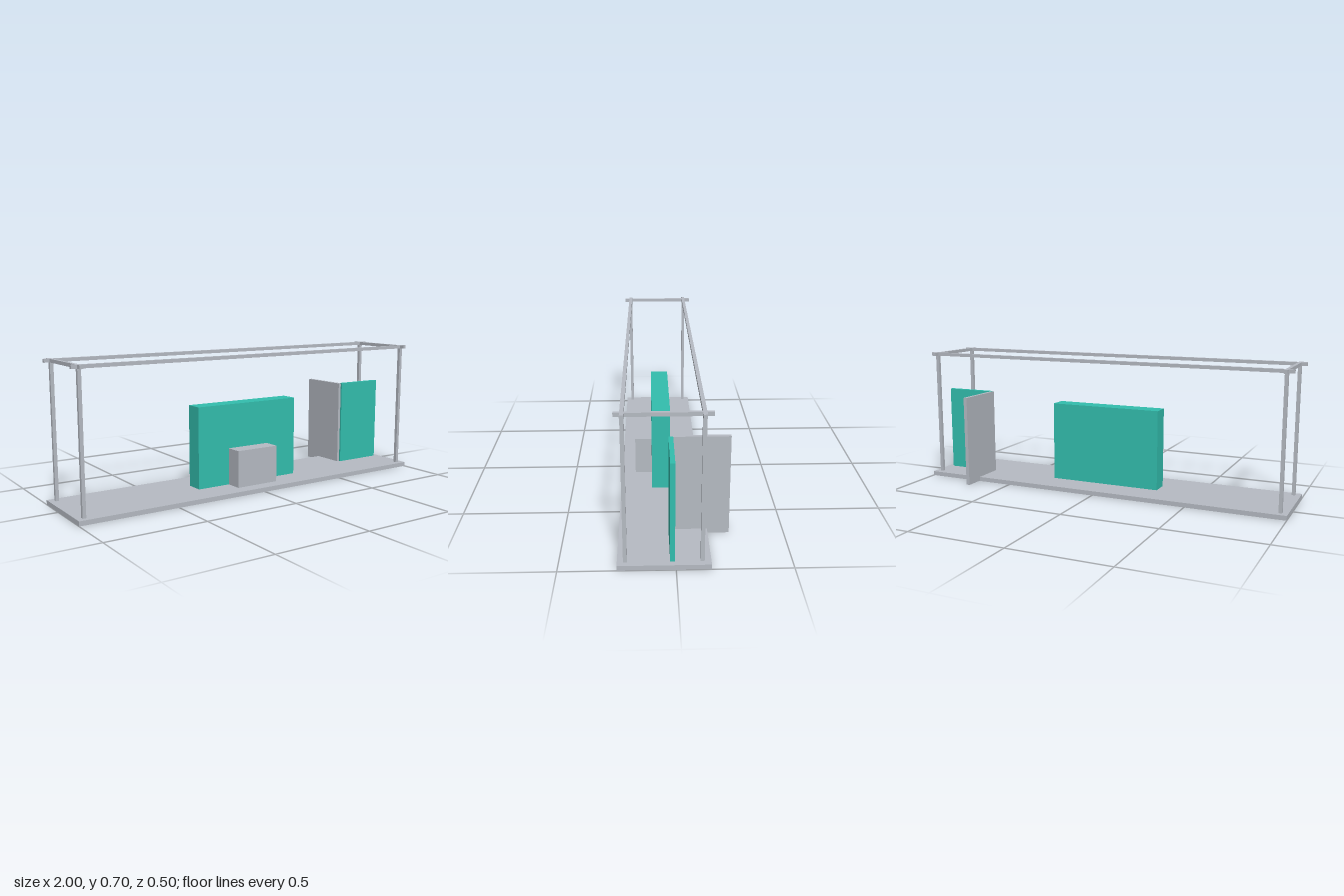
import * as THREE from 'three';

export function createModel() {
  const model = new THREE.Group();
  model.name = 'exhibitionStand';

  const grey = new THREE.MeshStandardMaterial({ color: 0xb6bbc3 });
  grey.name = 'light grey';
  const teal = new THREE.MeshStandardMaterial({ color: 0x33beae });
  teal.name = 'teal';

  // Box given by its lower and upper limits on each axis
  function box(name, material, [x0, x1], [y0, y1], [z0, z1]) {
    const mesh = new THREE.Mesh(new THREE.BoxGeometry(x1 - x0, y1 - y0, z1 - z0), material);
    mesh.position.set((x0 + x1) / 2, (y0 + y1) / 2, (z0 + z1) / 2);
    mesh.name = name;
    model.add(mesh);
  }

  const floorTop = 0.023;
  const top = 0.7;
  const bar = 0.017;
  const depth = [-0.15, 0.25];
  const around = (c) => [c - bar / 2, c + bar / 2];
  const postX = [-0.9635, 0.9635];
  const postZ = [-0.1125, 0.2155];

  // Floor
  box('floor', grey, [-1, 1], [0, floorTop], depth);

  // Frame: corner posts with crossing rails on top
  for (const x of postX) {
    for (const z of postZ) box('post', grey, around(x), [floorTop, top - bar], around(z));
    box('sideRail', grey, around(x), [top - bar, top], depth);
  }
  for (const z of postZ) box('longRail', grey, [-1, 1], [top - bar, top], around(z));

  // Display wall with a counter in front
  box('displayWall', teal, [-0.3, 0.3], [floorTop, 0.44], [0.005, 0.096]);
  box('counter', grey, [-0.12, 0.12], [floorTop, 0.213], [0.096, 0.181]);

  // Corner partition: a teal front panel and a grey panel running back past the floor
  box('frontPanel', teal, [0.703, 0.973], [0.002, 0.481], [0.004, 0.025]);
  box('sidePanel', grey, [0.688, 0.707], [0.002, 0.48], [-0.25, 0.016]);

  return model;
}
